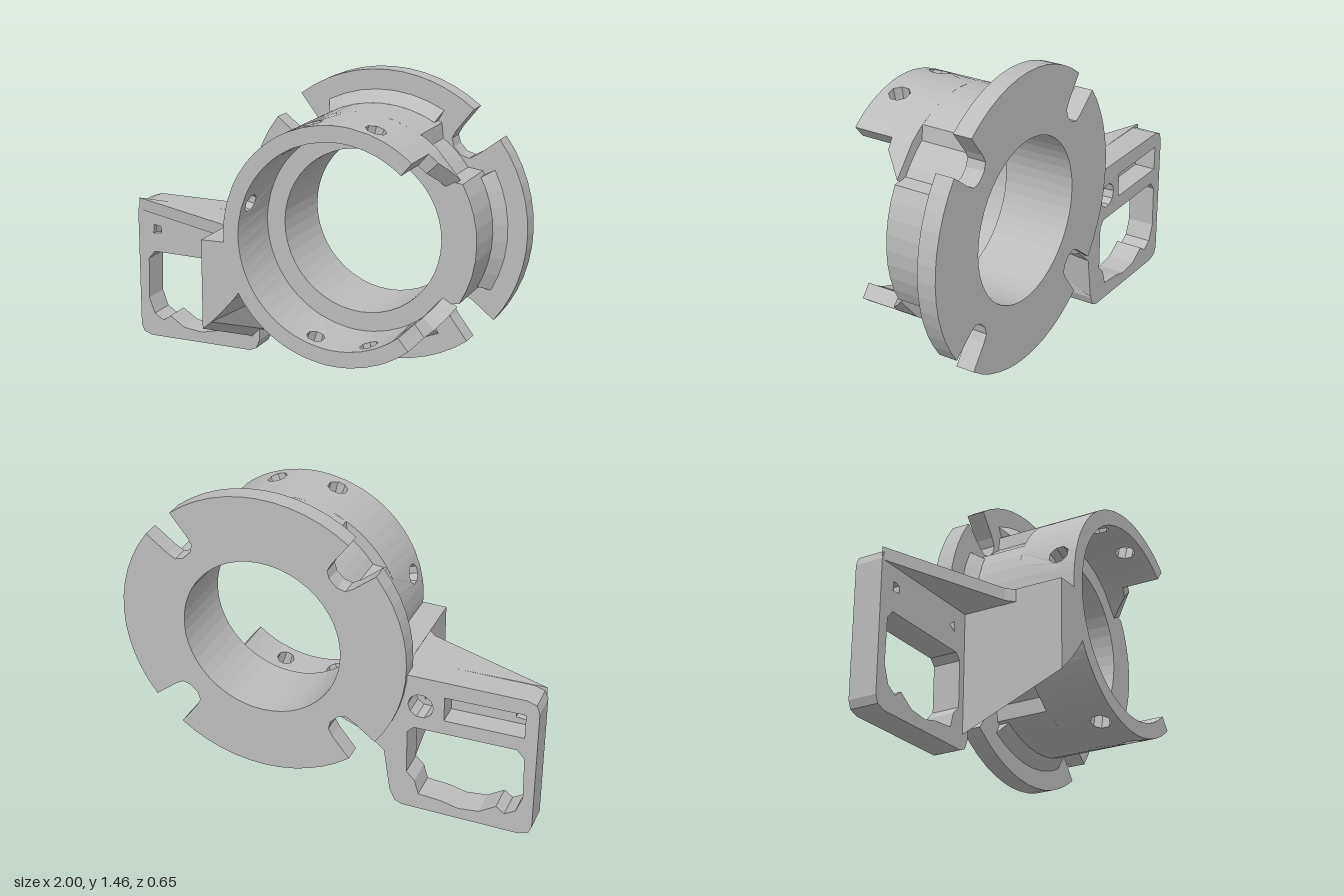
import * as THREE from 'three';

const CX = 0.3, CY = 0.765;          // ring axis
const BORE = 0.385, COUNTERBORE = 0.475, OUTER = 0.55;
const rad = THREE.MathUtils.degToRad;
const V = (x, y) => new THREE.Vector2(x, y);
const polar = (r, deg) => V(r * Math.cos(rad(deg)), r * Math.sin(rad(deg)));
const path = (pts) => new THREE.Path(pts.map(([x, y]) => V(x, y)));

function circle(x, y, r) {
  const p = new THREE.Path();
  p.absarc(x, y, r, 0, Math.PI * 2, true);
  return p;
}

// Flat shape with holes, extruded from z0 to z1
function slab(points, holes, z0, z1, segments = 24) {
  const shape = new THREE.Shape(points);
  shape.holes.push(...holes);
  const g = new THREE.ExtrudeGeometry(shape, { depth: z1 - z0, bevelEnabled: false, curveSegments: segments });
  return g.translate(0, 0, z0);
}

// Wall panel drawn as (angle, z), then wrapped round the ring axis.
// The outer radius may change with z.
function bentPanel(outline, r0, outerAt, hole) {
  const k = 100;                     // keeps degrees and lengths at similar scale
  const holes = [];
  if (hole) {
    const h = new THREE.Path();
    for (let i = 0; i < 8; i++) {
      const a = -i * Math.PI / 4 + 0.39;
      h[i ? 'lineTo' : 'moveTo']((hole.angle + 5 * Math.cos(a)) / k, hole.z + 0.05 * Math.sin(a));
    }
    h.closePath();
    holes.push(h);
  }
  const g = slab(outline.map(([a, z]) => V(a / k, z)), holes, 0, 1, 8);
  const p = g.attributes.position;
  for (let i = 0; i < p.count; i++) {
    const z = p.getY(i);
    const q = polar(r0 + p.getZ(i) * (outerAt(z) - r0), p.getX(i) * k);
    p.setXYZ(i, q.x, q.y, z);
  }
  g.computeVertexNormals();
  return g;
}

// Solid between two matching cross-sections (counter-clockwise from +z)
function loft(front, back, z1, z0) {
  const n = front.length, pos = [], idx = [];
  front.forEach(([x, y]) => pos.push(x, y, z1));
  back.forEach(([x, y]) => pos.push(x, y, z0));
  for (let i = 0; i < n; i++) {
    const j = (i + 1) % n;
    idx.push(i, n + i, n + j, i, n + j, j);
  }
  const cap = (pts) => THREE.ShapeUtils.triangulateShape(pts.map(([x, y]) => V(x, y)), []);
  cap(front).forEach(([a, b, c]) => idx.push(a, b, c));
  cap(back).forEach(([a, b, c]) => idx.push(n + a, n + c, n + b));
  const g = new THREE.BufferGeometry();
  g.setAttribute('position', new THREE.Float32BufferAttribute(pos, 3));
  g.setIndex(idx);
  const flat = g.toNonIndexed();
  flat.computeVertexNormals();
  return flat;
}

export function createModel() {
  const model = new THREE.Group();
  model.name = 'ringMount';
  const grey = new THREE.MeshStandardMaterial({ color: 0xbcbcbc });
  grey.name = 'plain grey';
  const add = (parent, name, geometry) => {
    const m = new THREE.Mesh(geometry, grey);
    m.name = name;
    parent.add(m);
  };

  const ring = new THREE.Group();
  ring.name = 'ring';
  ring.position.set(CX, CY, 0);
  model.add(ring);

  // Back flange: four lobes parted by diagonal slots
  const flange = [], body = [];
  const slot = [[0.56, -0.072], [0.52, -0.06], [0.5, -0.025], [0.5, 0.025], [0.52, 0.06], [0.56, 0.072]];
  for (let c = 0; c < 360; c += 90) {
    for (let i = 0; i <= 12; i++) flange.push(polar(0.697, c - 37.7 + i * 75.4 / 12));
    slot.forEach(([r, s]) => flange.push(V(r, s).rotateAround(V(0, 0), rad(c + 45))));
    for (let i = 0; i <= 8; i++) body.push(polar(OUTER, c - 30 + i * 7.5));
    for (let a = 35; a <= 55; a += 5) body.push(polar(0.495, c + a));
  }
  add(ring, 'flange', slab(flange, [circle(0, 0, BORE)], -0.325, -0.235));

  // Main barrel with scooped diagonals
  add(ring, 'barrel', slab(body, [circle(0, 0, BORE)], -0.235, 0.03));

  // Sloping fillets between barrel and flange
  for (let c = 0; c < 360; c += 90) {
    for (let a = c - 28; a < c + 28; a += 8) {
      add(ring, 'flangeFillet', bentPanel(
        [[a, -0.24], [a + 8, -0.24], [a + 8, -0.185], [a, -0.185]],
        0.53, (z) => OUTER + 0.06 * (-0.185 - z) / 0.055));
    }
  }

  // Front collar, open towards +x, with screw holes
  const edges = [50, 58, 66, 82, 90, 98, 114, 121, 128, 135, 142, 149, 156, 172, 180,
    188, 196, 204, 211, 218, 225, 232, 239, 246, 262, 270, 278, 294, 302, 310];
  const holeAngles = [74, 106, 164, 254, 286];
  for (let i = 0; i < edges.length - 1; i++) {
    const a = edges[i], b = edges[i + 1], m = (a + b) / 2;
    add(ring, 'collar', bentPanel(
      [[a, 0.025], [m, 0.025], [b, 0.025], [b, 0.325], [m, 0.325], [a, 0.325]],
      COUNTERBORE, () => OUTER, holeAngles.includes(m) ? { angle: m, z: 0.235 } : null));
  }

  // Ramps where the collar drops to the open side
  for (const s of [1, -1]) {
    const ramp = [[32, 0.025], [50, 0.025], [50, 0.13], [44, 0.12], [38, 0.07]].map(([a, z]) => [s * a, z]);
    if (s < 0) ramp.reverse();
    add(ring, 'collarRamp', bentPanel(ramp, COUNTERBORE, () => OUTER));
  }

  // Solid bracket joining ring and frame, its underside sloping back and down
  add(model, 'bracket', loft(
    [[-0.365, 0.29], [-0.32, 0.33], [-0.27, 0.38], [-0.2, 0.46], [-0.15, 0.53], [-0.2, 0.65], [-0.21, 0.725], [-0.365, 0.72]],
    [[-0.365, 0.03], [-0.32, 0.08], [-0.29, 0.29], [-0.2, 0.37], [-0.08, 0.42], [-0.2, 0.65], [-0.21, 0.735], [-0.365, 0.72]],
    0.325, -0.305));

  // Side frame: front skin with pin holes, deeper back layer with pockets
  const outline = [[-1, 0.05], [-0.985, 0.015], [-0.94, 0], [-0.38, 0.01], [-0.345, 0.025], [-0.325, 0.07],
    [-0.325, 0.72], [-0.94, 0.715], [-0.985, 0.7], [-1, 0.66]].map(([x, y]) => V(x, y));
  const opening = () => path([[-0.95, 0.2], [-0.945, 0.41], [-0.91, 0.45], [-0.43, 0.45], [-0.4, 0.42], [-0.4, 0.2],
    [-0.44, 0.16], [-0.46, 0.09], [-0.57, 0.08], [-0.65, 0.06], [-0.75, 0.07], [-0.83, 0.12], [-0.87, 0.09], [-0.92, 0.12]]);
  const pinHoles = [path([[-0.915, 0.545], [-0.91, 0.59], [-0.87, 0.585], [-0.87, 0.55]]),
    path([[-0.485, 0.565], [-0.45, 0.59], [-0.445, 0.54]])];
  add(model, 'frameFront', slab(outline, [opening(), ...pinHoles], -0.2, -0.17));
  const pocket = path([[-0.94, 0.52], [-0.94, 0.64], [-0.57, 0.64], [-0.57, 0.52]]);
  add(model, 'frameBack', slab(outline, [opening(), pocket, circle(-0.46, 0.57, 0.06)], -0.305, -0.2, 5));

  // Tapered gusset along the frame's top edge
  const gusset = [V(-0.995, -0.175), V(-0.36, -0.175), V(-0.36, 0.1), V(-0.4, 0.06)];
  const wall = slab(gusset, [], 0, 0.06).rotateX(Math.PI / 2).translate(0, 0.718, 0);
  add(model, 'topGusset', wall);

  return model;
}
